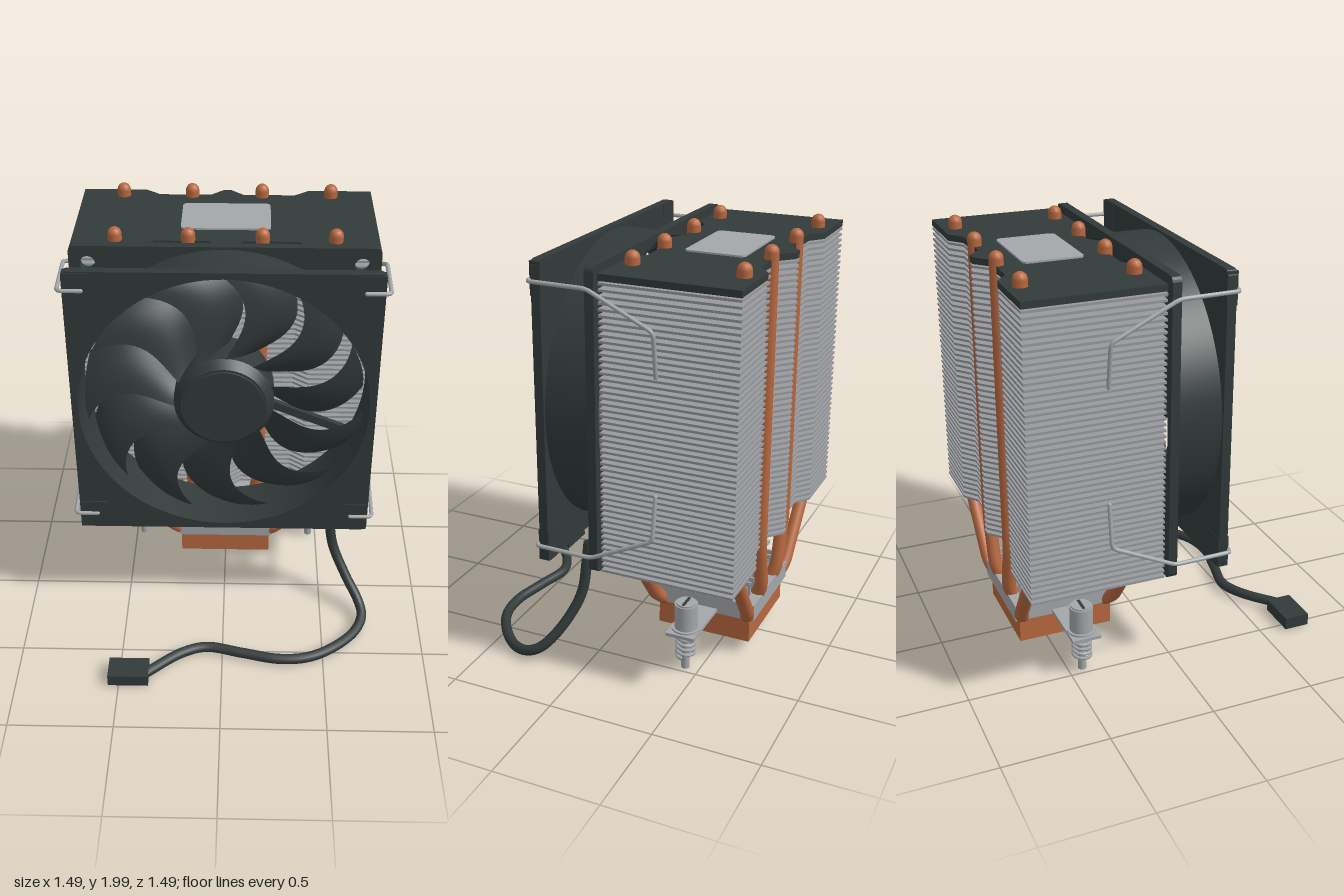
import * as THREE from 'three';
import { toCreasedNormals } from 'three/addons/utils/BufferGeometryUtils.js';

export function createModel() {
  const root = new THREE.Group();
  root.name = 'cpuCooler';
  const mat = (name, color, side = THREE.FrontSide) => {
    const m = new THREE.MeshStandardMaterial({ color, side });
    m.name = name;
    return m;
  };
  const dark = mat('charcoal', 0x323a3a, THREE.DoubleSide);
  const copper = mat('copper', 0xb8683f);
  const steel = mat('steel', 0xa3a7aa);
  const finGrey = mat('finAluminium', 0x97999d);

  const V = (x, y, z) => new THREE.Vector3(x, y, z);
  const add = (parent, name, geo, material, x = 0, y = 0, z = 0) => {
    const m = new THREE.Mesh(geo, material);
    m.name = name;
    m.position.set(x, y, z);
    parent.add(m);
    return m;
  };
  const group = (name, parent = root) => {
    const g = new THREE.Group();
    g.name = name;
    parent.add(g);
    return g;
  };
  const box = (parent, name, material, w, h, d, x, y, z) =>
    add(parent, name, new THREE.BoxGeometry(w, h, d), material, x, y, z);
  const cyl = (parent, name, material, r, y0, y1, x, z, n = 24) =>
    add(parent, name, new THREE.CylinderGeometry(r, r, y1 - y0, n), material, x, (y0 + y1) / 2, z);
  const extrude = (shape, depth, curveSegments = 12) =>
    toCreasedNormals(new THREE.ExtrudeGeometry(shape, { depth, bevelEnabled: false, curveSegments }), 0.5);
  // Horizontal plate from a shape in x and -z
  const plate = (shape, t) => extrude(shape, t).rotateX(-Math.PI / 2);
  const roundRect = (w, h, r) => {
    const s = new THREE.Shape();
    s.absarc(w / 2 - r, h / 2 - r, r, 0, Math.PI / 2);
    s.absarc(r - w / 2, h / 2 - r, r, Math.PI / 2, Math.PI);
    s.absarc(r - w / 2, r - h / 2, r, Math.PI, Math.PI * 1.5);
    s.absarc(w / 2 - r, r - h / 2, r, Math.PI * 1.5, Math.PI * 2);
    s.closePath();
    return s;
  };
  const circle = (r, x = 0, y = 0) => new THREE.Path().absarc(x, y, r, 0, Math.PI * 2, true);

  // Round rod with softened corners and domed ends
  const rod = (parent, name, material, pts, r, bend, segments, sides = 12) => {
    const path = new THREE.CurvePath();
    let last = pts[0];
    for (let i = 1; i < pts.length - 1; i++) {
      const p = pts[i];
      const a = p.clone().add(pts[i - 1].clone().sub(p).setLength(bend));
      const b = p.clone().add(pts[i + 1].clone().sub(p).setLength(bend));
      path.add(new THREE.LineCurve3(last, a));
      path.add(new THREE.QuadraticBezierCurve3(a, p, b));
      last = b;
    }
    const end = pts[pts.length - 1];
    path.add(new THREE.LineCurve3(last, end));
    add(parent, name, new THREE.TubeGeometry(path, segments, r, sides), material);
    for (const p of [pts[0], end])
      add(parent, name + 'End', new THREE.SphereGeometry(r, sides, 8), material, p.x, p.y, p.z);
  };

  // Fin stack, symmetrical notched outline
  const CZ = -0.4325;
  const edge = [[0.02, 0.3125], [0.08, 0.2575], [0.33, 0.2575], [0.4, 0.3125], [0.705, 0.3125]];
  const back = [...edge.map(([x, z]) => [-x, z]).reverse(), ...edge];
  const outline = [...back, ...back.map(([x, z]) => [-x, -z])];
  const finShape = new THREE.Shape(outline.map(([x, z]) => new THREE.Vector2(x, z)));
  const fins = group('finStack');
  const finGeo = plate(finShape, 0.011);
  for (let i = 0; i < 49; i++) add(fins, 'fin', finGeo, finGrey, 0, 0.57 + i * 0.0275, CZ);
  add(fins, 'topPlate', plate(finShape, 0.03), dark, 0, 1.908, CZ);
  add(fins, 'topBadge', plate(roundRect(0.42, 0.28, 0.025), 0.008), steel, 0, 1.938, CZ);

  // Heat pipes
  const pipes = group('heatPipes');
  for (const sx of [-1, 1]) for (const sz of [-1, 1]) {
    const z = d => CZ + sz * d;
    rod(pipes, 'outerPipe', copper, [V(sx * 0.505, 1.967, z(0.248)), V(sx * 0.505, 0.57, z(0.248)),
      V(sx * 0.25, 0.22, z(0.235)), V(sx * 0.14, 0.17, z(0.16))], 0.033, 0.08, 100);
    rod(pipes, 'innerPipe', copper, [V(sx * 0.17, 1.967, z(0.248)), V(sx * 0.17, 0.57, z(0.248)),
      V(sx * 0.105, 0.29, z(0.245)), V(sx * 0.09, 0.2, z(0.16))], 0.033, 0.07, 100);
  }

  // Contact base with small cooling fins
  const base = group('base');
  box(base, 'copperBase', copper, 0.47, 0.12, 0.465, 0, 0.137, CZ);
  box(base, 'baseBlock', steel, 0.485, 0.085, 0.51, 0, 0.24, CZ);
  for (let i = -4; i <= 4; i++) box(base, 'baseFin', steel, 0.012, 0.07, 0.41, i * 0.0505, 0.315, CZ);

  // Mounting bar with sprung screws
  const mount = group('mounting');
  box(mount, 'mountingBar', steel, 1.08, 0.016, 0.14, 0, 0.214, CZ);
  class Helix extends THREE.Curve {
    getPoint(t, target = V(0, 0, 0)) {
      const a = t * Math.PI * 2 * 5;
      return target.set(Math.cos(a) * 0.042, 0.075 + t * 0.125, Math.sin(a) * 0.042);
    }
  }
  const springGeo = new THREE.TubeGeometry(new Helix(), 90, 0.008, 6);
  for (const sx of [-1, 1]) {
    const x = sx * 0.46;
    cyl(mount, 'screwShaft', steel, 0.02, 0.01, 0.23, x, CZ, 16);
    cyl(mount, 'screwCollar', steel, 0.068, 0.205, 0.23, x, CZ);
    cyl(mount, 'screwHead', steel, 0.055, 0.23, 0.352, x, CZ);
    cyl(mount, 'screwHeadTop', steel, 0.048, 0.35, 0.36, x, CZ);
    box(mount, 'screwSlot', dark, 0.08, 0.004, 0.014, x, 0.36, CZ);
    add(mount, 'spring', springGeo, steel, x, 0, CZ);
  }

  // Fan frame
  const fan = group('fan');
  fan.position.y = 1.26;
  const rear = roundRect(1.41, 1.41, 0.03), front = roundRect(1.41, 1.41, 0.03);
  front.holes.push(circle(0.675));
  rear.holes.push(circle(0.675));
  for (const sx of [-1, 1]) for (const sy of [-1, 1]) {
    rear.holes.push(circle(0.035, sx * 0.62, sy * 0.62));
    box(fan, 'cornerPad', dark, 0.13, 0.15, 0.05, sx * 0.638, sy * 0.623, 0.173);
  }
  add(fan, 'frontFlange', extrude(front, 0.042, 48), dark, 0, 0, 0.15);
  add(fan, 'rearFlange', extrude(rear, 0.042, 48), dark, 0, 0, -0.1);
  const barrel = new THREE.Shape().absarc(0, 0, 0.693, 0, Math.PI * 2);
  barrel.holes.push(circle(0.675));
  add(fan, 'barrel', extrude(barrel, 0.21, 48), dark, 0, 0, -0.06);

  // Hub, motor mount and rear struts
  const hubProfile = [[0.235, -0.03], [0.235, 0.125], [0.2, 0.165], [0.19, 0.165], [0.188, 0.175], [0, 0.175]];
  const hubGeo = new THREE.LatheGeometry(hubProfile.map(([r, y]) => new THREE.Vector2(r, y)), 48);
  add(fan, 'hub', toCreasedNormals(hubGeo.rotateX(Math.PI / 2), 0.4), dark);
  const motorGeo = new THREE.CylinderGeometry(0.22, 0.22, 0.05, 40).rotateX(Math.PI / 2);
  add(fan, 'motorMount', motorGeo, dark, 0, 0, -0.072);
  for (let i = 0; i < 4; i++) {
    const a = (-28 + i * 90) * Math.PI / 180;
    const strut = box(fan, 'strut', dark, 0.5, 0.04, 0.03, Math.cos(a) * 0.435, Math.sin(a) * 0.435, -0.08);
    strut.rotation.z = a + 0.1;
  }

  // Swept and pitched blade sheet: u runs outward, v runs around
  const bladeGeo = new THREE.PlaneGeometry(1, 1, 14, 8);
  const pos = bladeGeo.attributes.position;
  for (let i = 0; i < pos.count; i++) {
    const u = pos.getX(i) + 0.5, v = pos.getY(i) + 0.5;
    const r = 0.22 + 0.437 * u;
    const sweep = -0.75 * u + 0.95 * u * u;
    const a = sweep + v * (0.62 - 0.14 * u);
    const z = -0.02 + (0.15 - 0.03 * u) * v + 0.025 * Math.sin(v * Math.PI);
    pos.setXYZ(i, r * Math.cos(a), r * Math.sin(a), z);
  }
  bladeGeo.computeVertexNormals();
  for (let i = 0; i < 11; i++)
    add(fan, 'blade', bladeGeo, dark).rotation.z = (i * 2 * Math.PI) / 11 - 0.2;

  // Wire clips holding the fan
  const clips = group('wireClips');
  for (const sx of [-1, 1]) for (const sy of [-1, 1]) {
    const p = (x, y, z) => V(sx * x, 1.26 + sy * y, z);
    rod(clips, 'wireClip', steel, [p(0.62, 0.617, 0.2), p(0.727, 0.617, 0.2), p(0.733, 0.617, -0.08),
      p(0.735, 0.47, -0.382), p(0.705, 0.27, -0.382)], 0.01, 0.025, 80, 8);
  }

  // Fan cable and plug
  const cable = group('fanCable');
  const cablePath = new THREE.CatmullRomCurve3([
    V(0.525, 0.6, 0.035), V(0.535, 0.5, 0.042), V(0.56, 0.34, 0.06), V(0.63, 0.19, 0.125), V(0.695, 0.09, 0.205),
    V(0.71, 0.055, 0.275), V(0.67, 0.035, 0.37), V(0.55, 0.032, 0.49), V(0.42, 0.034, 0.56),
    V(0.28, 0.036, 0.575), V(0.1, 0.038, 0.54), V(-0.08, 0.04, 0.505), V(-0.2, 0.042, 0.55), V(-0.37, 0.043, 0.69)]);
  add(cable, 'cable', new THREE.TubeGeometry(cablePath, 110, 0.025, 12), dark);
  box(cable, 'plug', dark, 0.195, 0.06, 0.125, -0.453, 0.043, 0.683);

  return root;
}
